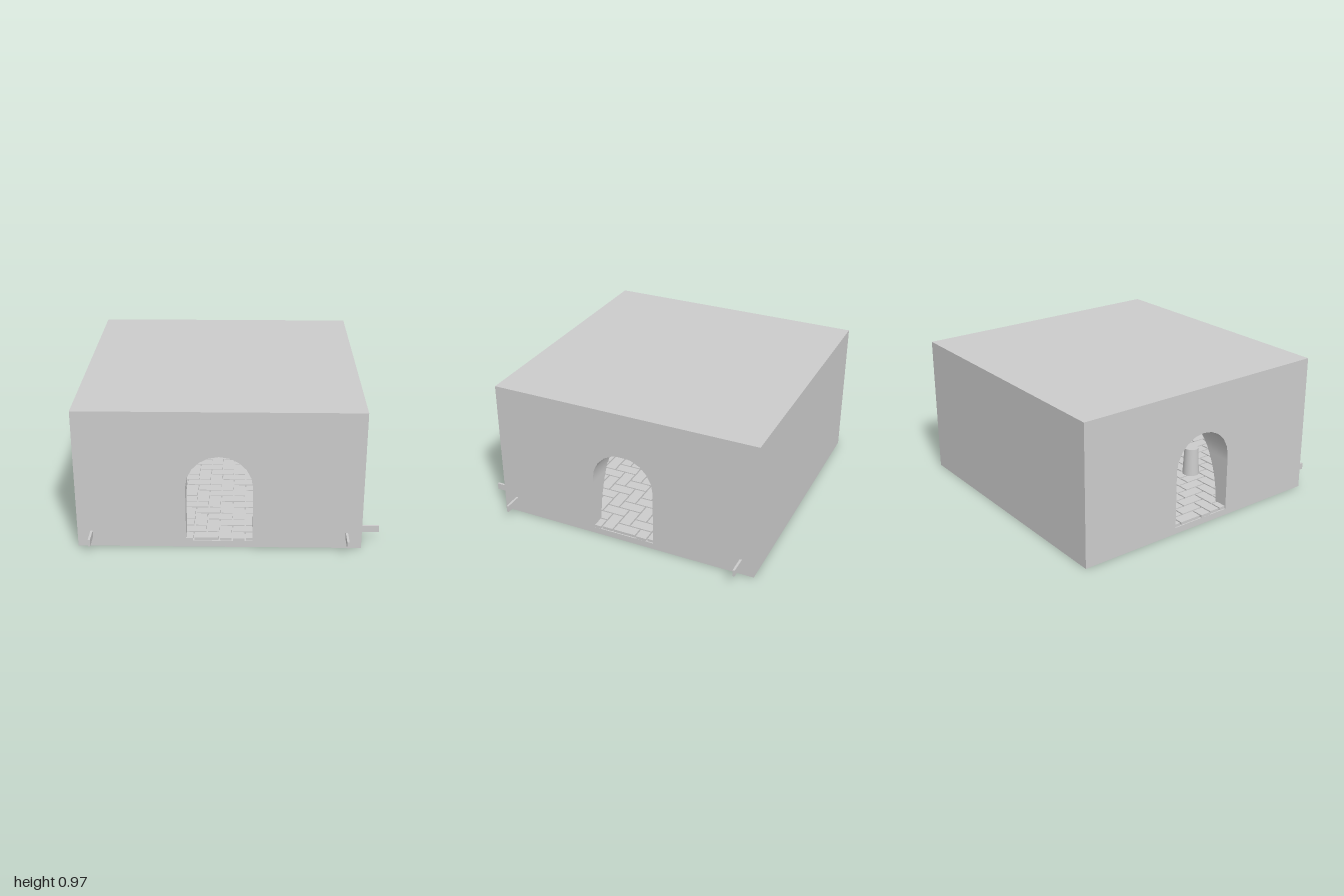
import * as THREE from 'three';
import { mergeGeometries } from 'three/addons/utils/BufferGeometryUtils.js';

const C = -0.0625, HALF = 0.9375, TOP = 0.97;      // block centre, half width, height
const SILL = 0.045, FLOOR = 0.064;                 // bed under the bricks, top of the bricks
const ARCH_W = 0.22, SPRING = 0.44;                // arch half width and spring height
const R = 0.87, H = 0.85;                          // radius and rise of the domed chamber
const SEG = 10;

const stone = new THREE.MeshStandardMaterial({ color: 0xcccccc, roughness: 0.9 });
const thin = new THREE.MeshStandardMaterial({ color: 0xcccccc, roughness: 0.9, side: THREE.DoubleSide });

function add(parent, name, geometry, material = stone) {
  const mesh = new THREE.Mesh(geometry, material);
  mesh.name = name;
  parent.add(mesh);
  return mesh;
}

// Skin a grid of points, rows[j][i], with smooth normals
function skin(rows) {
  const n = rows[0].length, index = [];
  for (let j = 0; j < rows.length - 1; j++) {
    for (let i = 0; i < n - 1; i++) {
      const a = j * n + i, b = a + n;
      index.push(a, b, a + 1, b, b + 1, a + 1);
    }
  }
  const g = new THREE.BufferGeometry().setFromPoints(rows.flat());
  g.setIndex(index);
  g.computeVertexNormals();
  return g;
}

// Arch outline from the left foot over the crown to the right foot, as [u, y]
function archOutline() {
  const pts = [];
  for (let i = 0; i <= 3 * SEG; i++) {
    const t = i / SEG;
    if (t <= 1) pts.push([-ARCH_W, SILL + (SPRING - SILL) * t]);
    else if (t < 2) {
      const a = Math.PI * (2 - t);
      pts.push([ARCH_W * Math.cos(a), SPRING + ARCH_W * Math.sin(a)]);
    } else pts.push([ARCH_W, SILL + (SPRING - SILL) * (3 - t)]);
  }
  return pts;
}

const domePoint = (theta, phi) => new THREE.Vector3(
  R * Math.cos(phi) * Math.sin(theta), SILL + H * Math.sin(phi), R * Math.cos(phi) * Math.cos(theta));

// A quarter of the dome, spread from the arch (or a point) to the quarter's border
function domeQuarter(outline) {
  const inner = outline.map(([u, y]) => {
    const phi = Math.asin((y - SILL) / H);
    return [Math.asin(u / (R * Math.cos(phi))), phi];
  });
  const outer = outline.map((_, i) => {
    const t = i / SEG, q = Math.PI / 4;
    if (t <= 1) return [-q, 2 * q * t];
    if (t < 2) return [-q + 2 * q * (t - 1), 2 * q];
    return [q, 2 * q * (3 - t)];
  });
  const rows = [];
  for (let j = 0; j <= 12; j++) {
    rows.push(inner.map((p, i) => domePoint(
      THREE.MathUtils.lerp(p[0], outer[i][0], j / 12),
      THREE.MathUtils.lerp(p[1], outer[i][1], j / 12))));
  }
  const g = skin(rows), pos = g.attributes.position, nor = g.attributes.normal;
  const v = new THREE.Vector3();
  for (let i = 0; i < pos.count; i++) {
    v.set(-pos.getX(i) / (R * R), -(pos.getY(i) - SILL) / (H * H), -pos.getZ(i) / (R * R)).normalize();
    nor.setXYZ(i, v.x, v.y, v.z);
  }
  return { geometry: g, rim: rows[0] };
}

// One side of the block: outer wall, doorway lining and its quarter of the dome
function side(name, angle, open) {
  const group = new THREE.Group();
  group.name = name;
  group.rotation.y = angle;
  const outline = archOutline();
  const wall = new THREE.Shape([[-HALF, 0], [HALF, 0], [HALF, TOP], [-HALF, TOP]].map(p => new THREE.Vector2(...p)));
  if (open) wall.holes.push(new THREE.Path(outline.map(p => new THREE.Vector2(...p))));
  add(group, 'wall', new THREE.ShapeGeometry(wall)).position.z = HALF;
  const dome = domeQuarter(open ? outline : outline.map(() => [0, SILL]));
  add(group, 'domeQuarter', dome.geometry, thin);
  if (open) {
    const face = outline.map(([u, y]) => new THREE.Vector3(u, y, HALF));
    add(group, 'archLining', skin([face, dome.rim]), thin);
  }
  return group;
}

// Herringbone paving, trimmed to the block
function paving() {
  const w = 0.085, gap = 0.005, n = 12, list = [], lim = HALF - 0.001;
  const clip = v => Math.max(-lim, Math.min(lim, v));
  for (let i = -n; i <= n; i++) {
    for (let j = -n; j <= n; j++) {
      const k = (((i - j) % 4) + 4) % 4;
      if (k !== 0 && k !== 3) continue;
      const x0 = clip(i * w + gap), x1 = clip((i + (k === 0 ? 2 : 1)) * w - gap);
      const z0 = clip(j * w + gap), z1 = clip((j + (k === 3 ? 2 : 1)) * w - gap);
      if (x1 - x0 < 0.005 || z1 - z0 < 0.005) continue;
      list.push(new THREE.BoxGeometry(x1 - x0, FLOOR - SILL, z1 - z0)
        .translate((x0 + x1) / 2, (FLOOR + SILL) / 2, (z0 + z1) / 2));
    }
  }
  return mergeGeometries(list);
}

// Low ring of bricks round the chamber, broken at the doorways
function ringCourse() {
  const list = [], count = 42, r = 0.835;
  for (let i = 0; i < count; i++) {
    const a = (i + 0.5) / count * Math.PI * 2, x = r * Math.sin(a), z = r * Math.cos(a);
    if ((Math.abs(x) < 0.29 && z > 0) || Math.abs(z) < 0.29) continue;
    list.push(new THREE.BoxGeometry(0.117, 0.05, 0.05).rotateY(a).translate(x, FLOOR + 0.025, z));
  }
  return mergeGeometries(list);
}

export function createModel() {
  const model = new THREE.Group();
  model.name = 'domedChamber';
  const block = new THREE.Group();
  block.name = 'block';
  block.position.set(C, 0, C);
  model.add(block);

  // Three open sides and a closed back
  block.add(side('frontSide', 0, true));
  block.add(side('leftSide', Math.PI / 2, true));
  block.add(side('rightSide', -Math.PI / 2, true));
  block.add(side('backSide', Math.PI, false));

  // Roof, underside and bed
  const plate = () => new THREE.PlaneGeometry(2 * HALF, 2 * HALF);
  add(block, 'roof', plate().rotateX(-Math.PI / 2).translate(0, TOP, 0));
  add(block, 'underside', plate().rotateX(Math.PI / 2));
  add(block, 'bed', plate().rotateX(-Math.PI / 2).translate(0, SILL, 0));

  // Brickwork inside
  add(block, 'floorBricks', paving());
  add(block, 'ringCourse', ringCourse());

  // Thin rings round the upper dome
  for (const y of [0.7, 0.76, 0.81, 0.85]) {
    const r = R * Math.sqrt(1 - ((y - SILL) / H) ** 2);
    add(block, 'domeRing', new THREE.TorusGeometry(r - 0.004, 0.01, 6, 64).rotateX(Math.PI / 2).translate(0, y, 0));
  }

  // Small round post on the floor
  add(block, 'post', new THREE.CylinderGeometry(0.05, 0.06, 0.2, 24)).position.set(-0.4, FLOOR + 0.1, 0.38);

  // Brick ends that stick out of the front and left walls
  for (const s of [-0.907, 0.777]) {
    add(model, 'frontPeg', new THREE.BoxGeometry(0.015, 0.046, 0.16)).position.set(s, 0.092, 0.92);
    add(model, 'leftPeg', new THREE.BoxGeometry(0.16, 0.046, 0.015)).position.set(0.92, 0.092, s);
  }
  return model;
}
